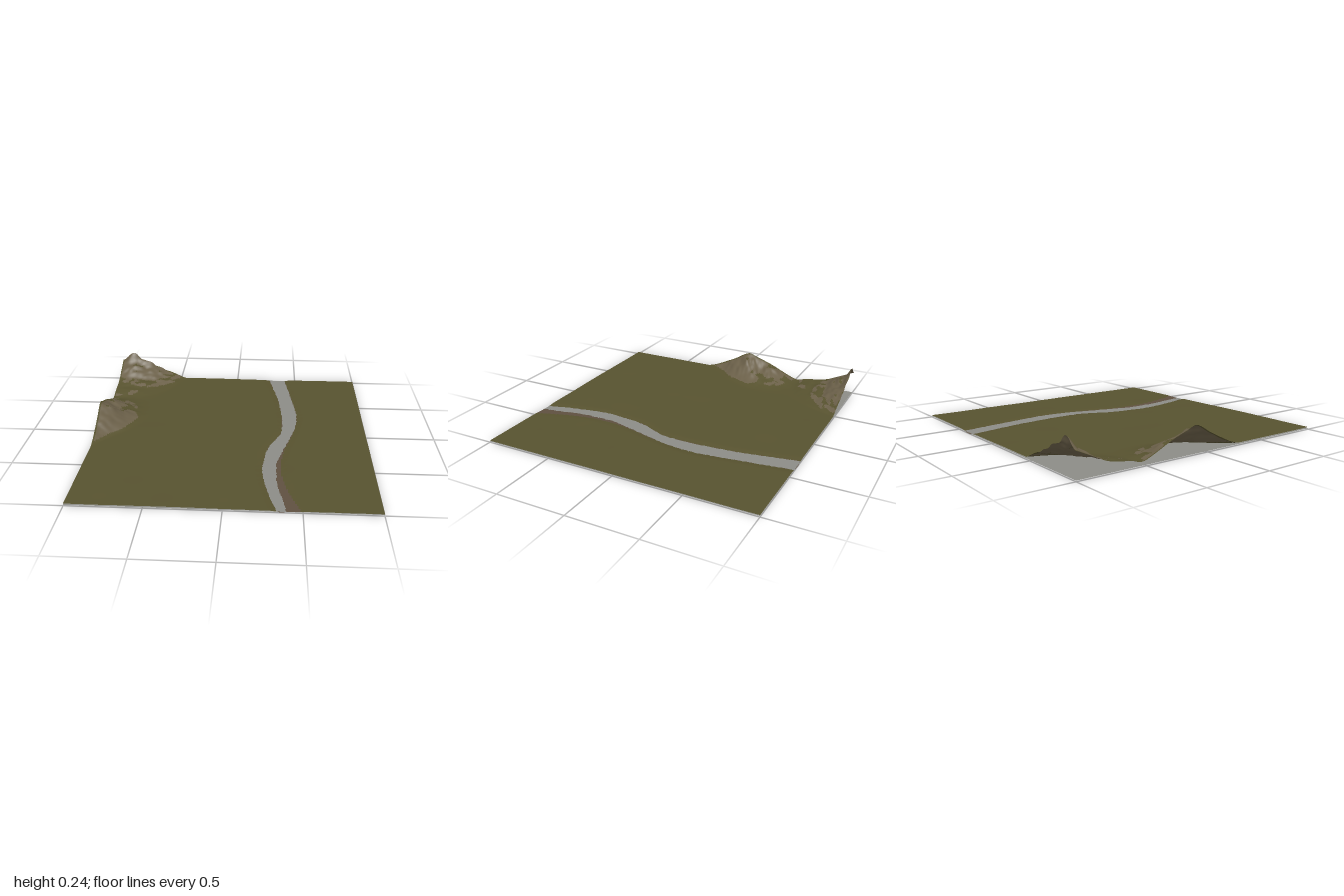
import * as THREE from 'three';

const N = 190; // grid cells per side
const WATER = 0.007, PLAIN = 0.016;
const { clamp, lerp, smoothstep } = THREE.MathUtils;

// Smooth curve through [key, value] pairs
function curve(points) {
  const slope = (i) => {
    const a = points[Math.max(i - 1, 0)], b = points[Math.min(i + 1, points.length - 1)];
    return (b[1] - a[1]) / (b[0] - a[0]);
  };
  return (k) => {
    let i = 0;
    while (i < points.length - 2 && k > points[i + 1][0]) i++;
    const [k0, v0] = points[i], [k1, v1] = points[i + 1];
    const w = k1 - k0, t = clamp((k - k0) / w, 0, 1), s = t * t * (3 - 2 * t);
    return v0 + (v1 - v0) * s + w * t * (1 - t) * ((1 - t) * slope(i) - t * slope(i + 1));
  };
}

// Seeded value noise in the range -1 to 1
function hash(i, j) {
  const s = Math.sin(i * 127.1 + j * 311.7 + 4.2) * 43758.5453;
  return (s - Math.floor(s)) * 2 - 1;
}
function noise(x, z) {
  const i = Math.floor(x), j = Math.floor(z);
  const u = smoothstep(x - i, 0, 1), v = smoothstep(z - j, 0, 1);
  return lerp(lerp(hash(i, j), hash(i + 1, j), u), lerp(hash(i, j + 1), hash(i + 1, j + 1), u), v);
}

// River banks and mud edge, as x along z
const bankRight = curve([[-1, 0.28], [-0.6, 0.355], [-0.3, 0.38], [-0.1, 0.38], [0, 0.365], [0.2, 0.28],
  [0.4, 0.25], [0.5, 0.24], [0.7, 0.265], [0.9, 0.31], [1, 0.34]]);
const bankLeft = curve([[-1, 0.41], [-0.6, 0.465], [-0.3, 0.495], [-0.1, 0.475], [0, 0.45], [0.2, 0.395],
  [0.4, 0.34], [0.5, 0.335], [0.7, 0.34], [0.9, 0.38], [1, 0.395]]);
const mudEdge = curve([[-1, 0.41], [0, 0.45], [0.2, 0.4], [0.4, 0.37], [0.6, 0.375], [0.8, 0.42], [1, 0.49]]);

// Mountain height along the edge x = -1, and its foot line, along z
const crest = curve([[-1, 0.155], [-0.9, 0.115], [-0.77, 0.06], [-0.6, 0.03], [-0.55, 0.015], [-0.5, 0.022],
  [-0.31, 0.105], [-0.18, 0.15], [-0.1, 0.174], [0.03, 0.105], [0.15, 0.045], [0.2, 0.022], [0.27, 0]]);
const foot = curve([[-1, -0.46], [-0.8, -0.54], [-0.6, -0.65], [-0.5, -0.67], [-0.3, -0.65], [-0.2, -0.66],
  [-0.1, -0.71], [0, -0.77], [0.1, -0.86], [0.2, -0.95], [0.27, -1]]);

function mountain(x, z) {
  const t = z < 0.27 ? (x + 1) / Math.max(foot(z) + 1, 0.001) : 1;
  if (t >= 1) return 0;
  const back = smoothstep(-z, 0.5, 0.9);
  const fall = lerp(1 - smoothstep(t, -0.45, 1), 1 - Math.pow(t, 1.7), back);
  const base = crest(z) * fall / lerp(1 - smoothstep(0, -0.45, 1), 1, back);
  const peak = 0.05 * Math.exp(-(((x + 0.91) / 0.06) ** 2) - ((z + 1) / 0.08) ** 2);
  // Gullies run down the slope, with finer crags across it
  const gully = 0.2 * noise(x * 9 + z * 8, z * 17) + 0.1 * noise(x * 24, z * 34 + x * 9);
  return base * (1 + gully * smoothstep(t, 0, 0.2)) + peak;
}

function height(x, z) {
  const r = bankRight(z), l = bankLeft(z), jag = 0.004 * noise(x * 60, z * 60);
  const out = Math.max(r - x, x - l) + jag;
  if (out < 0) {
    const depth = clamp(-out / ((l - r) / 2), 0, 1);
    return WATER * (1 - smoothstep(depth, 0, 0.8)) - 0.0004 * (1 - depth);
  }
  const shore = x > l ? Math.max(mudEdge(z) - l, 0) + 0.05 : 0.05;
  const land = PLAIN - 0.003 * smoothstep(x, -0.4, 0.5) + 0.001 * noise(x * 5, z * 5);
  return lerp(WATER + 0.0004, land, smoothstep(out, 0, shore)) + mountain(x, z);
}

// One height field, divided into ground covers that share its normals
function buildTerrain() {
  const position = [], index = [], row = N + 1;
  for (let j = 0; j <= N; j++) {
    for (let i = 0; i <= N; i++) {
      const x = (2 * i) / N - 1, z = (2 * j) / N - 1;
      position.push(x, Math.max(height(x, z), 0), z);
    }
  }
  const covers = { grassland: [], mountainRock: [], riverBed: [] };
  for (let j = 0; j < N; j++) {
    for (let i = 0; i < N; i++) {
      const a = j * row + i, b = a + row, quad = [a, b, a + 1, b, b + 1, a + 1];
      index.push(...quad);
      const x = (2 * i + 1) / N - 1, z = (2 * j + 1) / N - 1;
      const rise = Math.hypot(height(x + 0.01, z) - height(x - 0.01, z), height(x, z + 0.01) - height(x, z - 0.01)) / 0.02;
      let cover = 'grassland';
      if (x > bankRight(z) && x < Math.max(bankLeft(z), mudEdge(z))) cover = 'riverBed';
      else if (mountain(x, z) > 0.012 && rise + 0.2 * noise(x * 14, z * 14) > 0.36) cover = 'mountainRock';
      covers[cover].push(...quad);
    }
  }
  const field = new THREE.BufferGeometry();
  field.setAttribute('position', new THREE.Float32BufferAttribute(position, 3));
  field.setIndex(index);
  field.computeVertexNormals();

  const colors = { grassland: 0x57522f, mountainRock: 0x6b6049, riverBed: 0x5f5040 };
  const terrain = new THREE.Group();
  terrain.name = 'terrain';
  for (const [name, faces] of Object.entries(covers)) {
    const geometry = new THREE.BufferGeometry();
    geometry.setAttribute('position', field.attributes.position);
    geometry.setAttribute('normal', field.attributes.normal);
    geometry.setIndex(faces);
    const material = new THREE.MeshStandardMaterial({ color: colors[name], side: THREE.DoubleSide });
    const mesh = new THREE.Mesh(geometry, material);
    mesh.name = name;
    terrain.add(mesh);
  }
  return terrain;
}

export function createModel() {
  const model = new THREE.Group();
  model.name = 'riverLandscape';
  model.add(buildTerrain());

  // Flat water sheet under the land, showing only in the river channel
  const water = new THREE.Mesh(
    new THREE.PlaneGeometry(2, 2).rotateX(-Math.PI / 2),
    new THREE.MeshStandardMaterial({ color: 0x8c8c86, side: THREE.DoubleSide })
  );
  water.name = 'waterSheet';
  water.position.y = WATER;
  model.add(water);
  return model;
}
